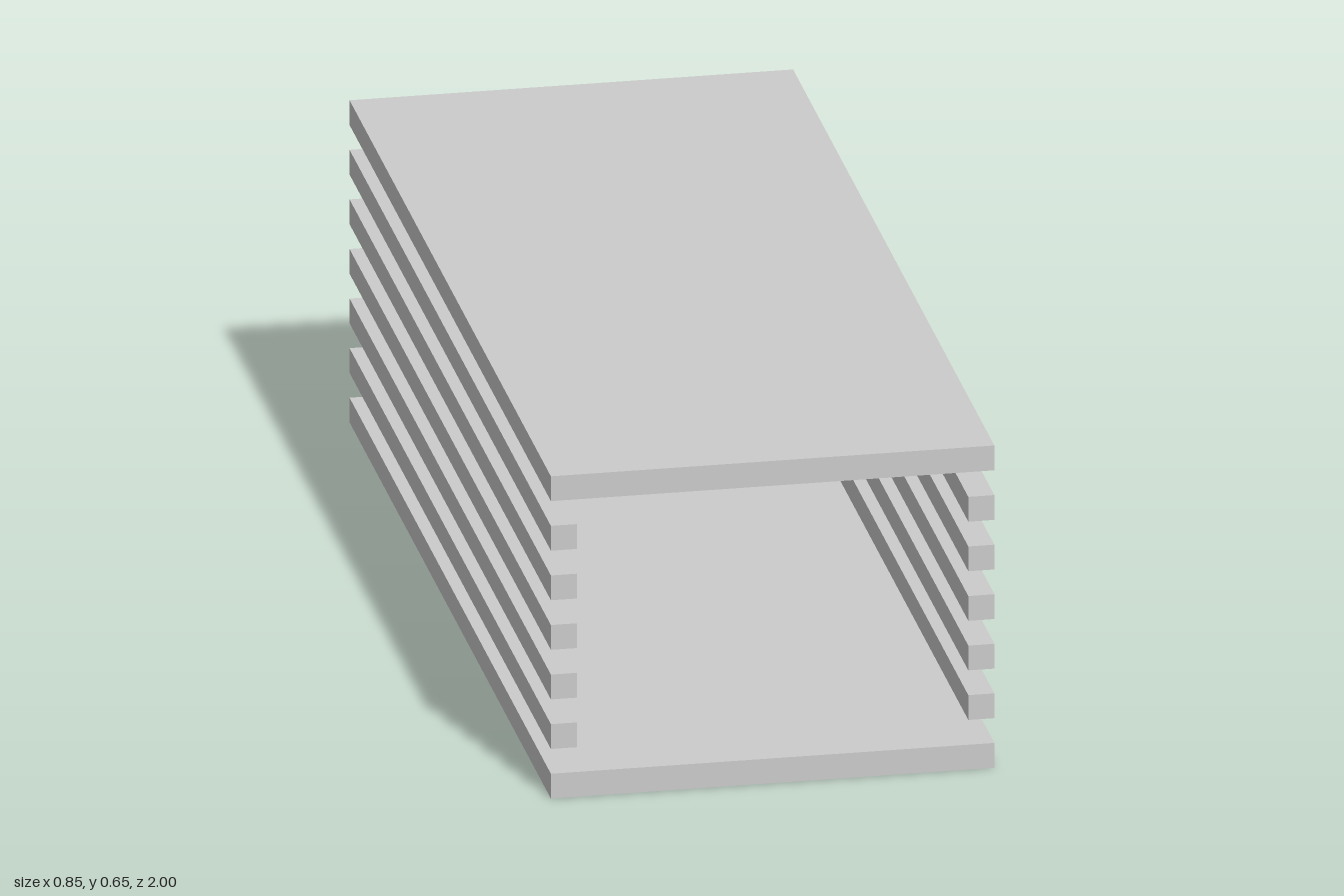
import * as THREE from 'three';

const WIDTH = 0.85;
const LENGTH = 2;
const THICK = 0.05;
const PITCH = 0.1; // vertical spacing of panels and slats
const SLATS = 5;   // slats per side

export function createModel() {
  const group = new THREE.Group();
  group.name = 'slattedFrame';
  const material = new THREE.MeshStandardMaterial({ color: 0xcccccc, flatShading: true });
  const panelGeometry = new THREE.BoxGeometry(WIDTH, THICK, LENGTH);
  const slatGeometry = new THREE.BoxGeometry(THICK, THICK, LENGTH);

  // Places a part with its underside at the given level
  const add = (name, geometry, x, level) => {
    const mesh = new THREE.Mesh(geometry, material);
    mesh.name = name;
    mesh.position.set(x, level * PITCH + THICK / 2, 0);
    group.add(mesh);
  };

  // Bottom and top panels
  add('bottomPanel', panelGeometry, 0, 0);
  add('topPanel', panelGeometry, 0, SLATS + 1);

  // Side slats, mirrored left and right
  const slatX = (WIDTH - THICK) / 2;
  for (let i = 1; i <= SLATS; i++) {
    add(`leftSlat${i}`, slatGeometry, slatX, i);
    add(`rightSlat${i}`, slatGeometry, -slatX, i);
  }

  return group;
}
